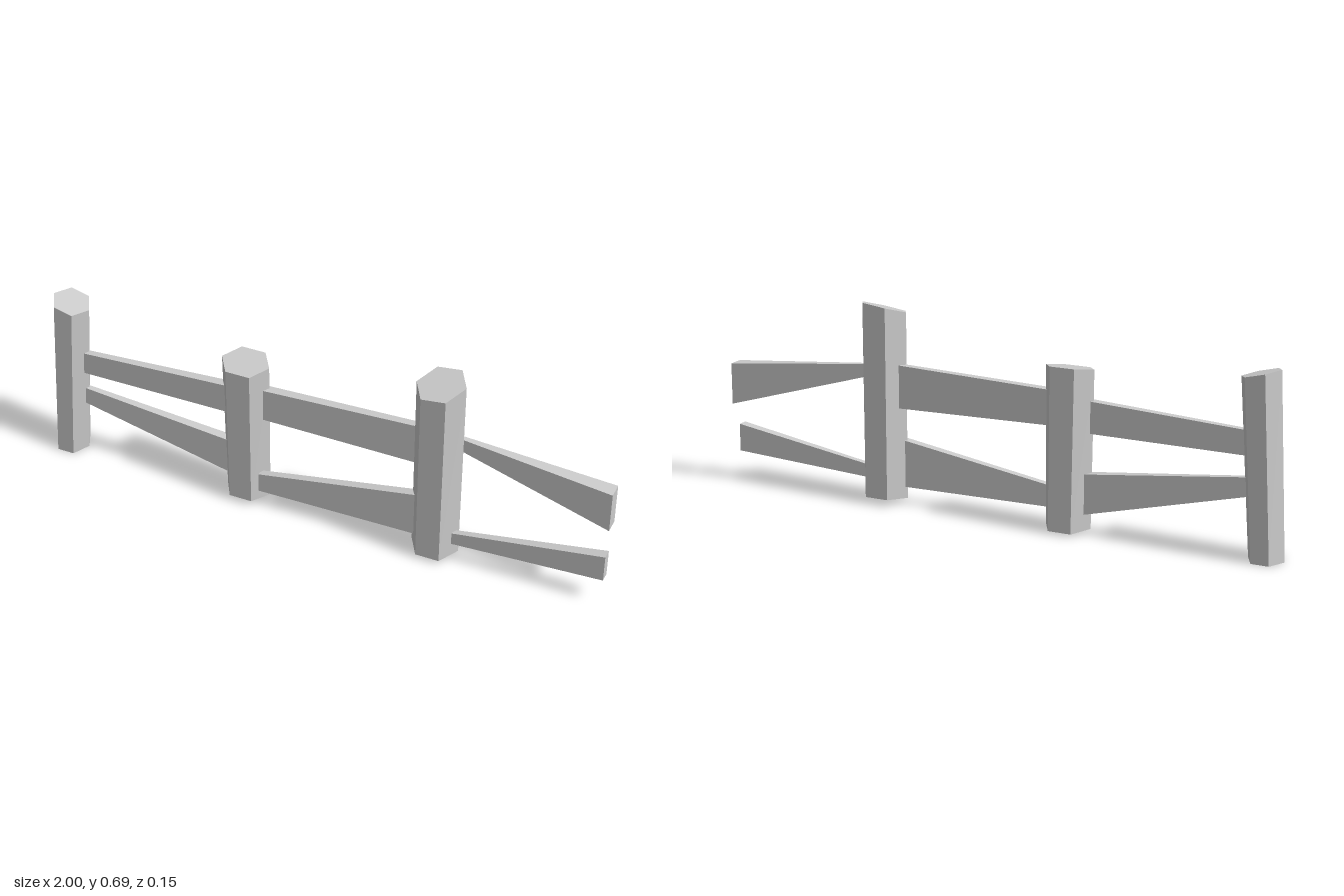
import * as THREE from 'three';

const material = new THREE.MeshStandardMaterial({ color: 0xcccccc, flatShading: true });

// Closed solid between two matching rings of corners
function loft(name, a, b) {
  const n = a.length, pos = [];
  const tri = (...corners) => corners.forEach((p) => pos.push(...p));
  for (let i = 0; i < n; i++) {
    const j = (i + 1) % n;
    tri(a[i], b[i], a[j]);
    tri(b[i], b[j], a[j]);
    if (i > 0 && i < n - 1) {
      tri(a[0], a[i], a[j]);
      tri(b[0], b[j], b[i]);
    }
  }
  const geometry = new THREE.BufferGeometry();
  geometry.setAttribute('position', new THREE.Float32BufferAttribute(pos, 3));
  geometry.computeVertexNormals();
  const mesh = new THREE.Mesh(geometry, material);
  mesh.name = name;
  return mesh;
}

// Six-sided ring, tilted by slopes along x and z
function hexRing({ x, y, z, rx, rz, slopeX = 0, slopeZ = 0 }) {
  return Array.from({ length: 6 }, (_, i) => {
    const angle = (i * Math.PI) / 3;
    const dx = rx * Math.cos(angle);
    const dz = (rz * Math.sin(angle)) / Math.sin(Math.PI / 3);
    return [x + dx, y + slopeX * dx + slopeZ * dz, z + dz];
  });
}

// Rectangular end of a rail
const railEnd = ([x, y0, y1, z0, z1]) => [[x, y0, z1], [x, y1, z1], [x, y1, z0], [x, y0, z0]];

export function createModel() {
  const group = new THREE.Group();
  group.name = 'fence';

  // Posts: bottom ring, top ring
  const posts = [
    ['rightPost',
      { x: -0.94, y: 0.002, z: 0, rx: 0.06, rz: 0.06 },
      { x: -0.907, y: 0.597, z: -0.005, rx: 0.065, rz: 0.06, slopeX: -0.25, slopeZ: -0.05 }],
    ['middlePost',
      { x: -0.265, y: 0.016, z: -0.007, rx: 0.08, rz: 0.068, slopeZ: 0.08 },
      { x: -0.265, y: 0.543, z: -0.003, rx: 0.085, rz: 0.062, slopeZ: -0.16 }],
    ['leftPost',
      { x: 0.418, y: 0.02, z: 0.008, rx: 0.082, rz: 0.069, slopeZ: -0.07 },
      { x: 0.418, y: 0.668, z: 0.008, rx: 0.083, rz: 0.069, slopeX: 0.13, slopeZ: -0.25 }],
  ];
  for (const [name, bottom, top] of posts) group.add(loft(name, hexRing(bottom), hexRing(top)));

  // Rails: each end is x, low y, high y, back z, front z
  const rails = [
    ['upperRightRail', [-0.89, 0.33, 0.41, -0.008, 0.015], [-0.32, 0.335, 0.442, -0.015, 0.017]],
    ['lowerRightRail', [-0.89, 0.203, 0.264, -0.01, 0.01], [-0.32, 0.066, 0.202, -0.032, 0.002]],
    ['upperMiddleRail', [-0.21, 0.345, 0.462, -0.015, 0.018], [0.36, 0.335, 0.482, -0.018, 0.008]],
    ['lowerMiddleRail', [-0.205, 0.06, 0.13, 0.018, 0.042], [0.36, 0.06, 0.224, 0, 0.032]],
    ['upperLeftRail', [0.485, 0.427, 0.472, -0.018, 0], [0.995, 0.28, 0.423, -0.042, 0.011]],
    ['lowerLeftRail', [0.485, 0.068, 0.112, 0.018, 0.038], [1, 0.1, 0.196, 0.005, 0.04]],
  ];
  for (const [name, start, end] of rails) group.add(loft(name, railEnd(start), railEnd(end)));

  return group;
}
